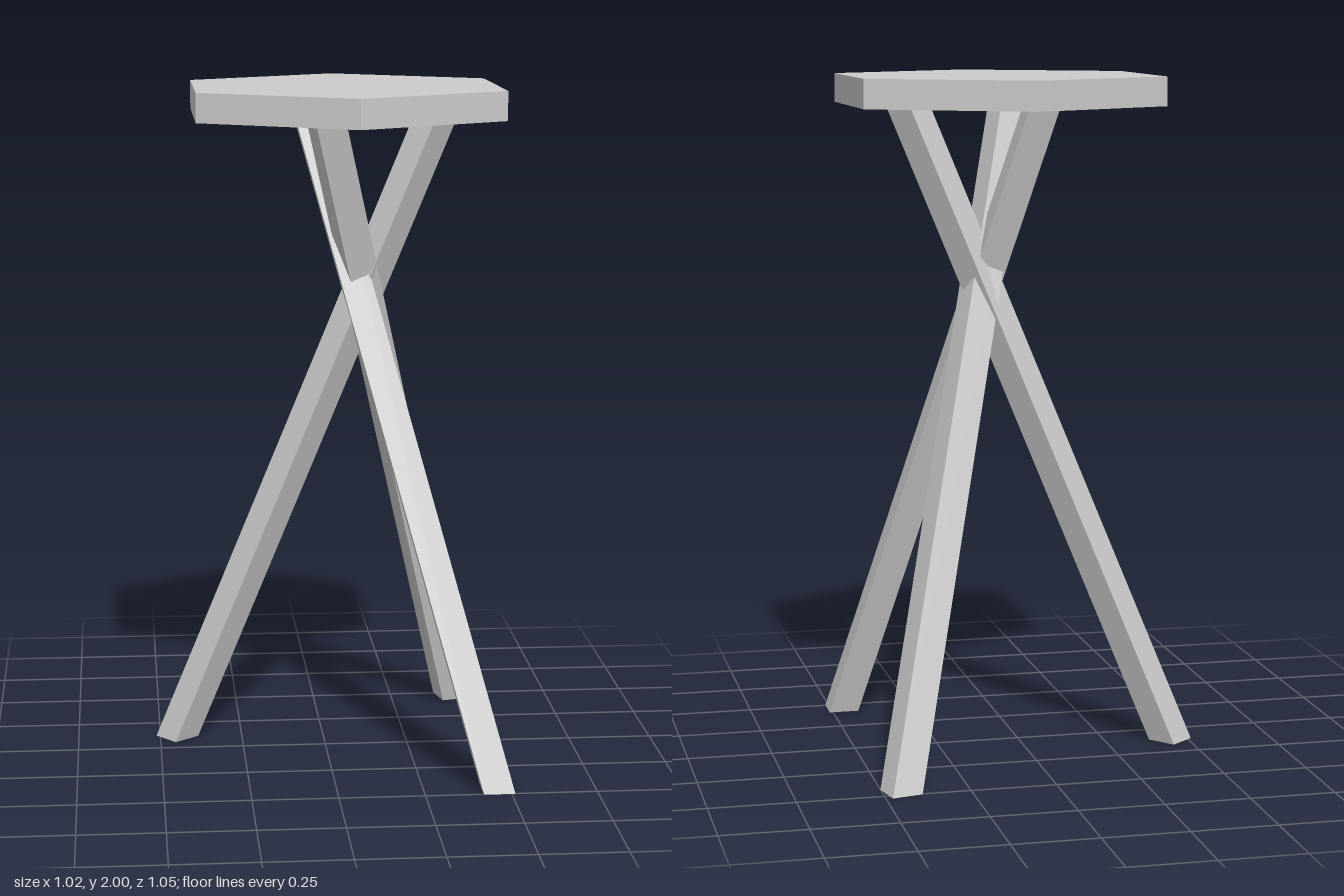
import * as THREE from 'three';

const SEAT_BOTTOM = 1.915;
const SEAT_TOP = 2;

// Square leg sheared so foot and top stay level: foot centre, rise offset, twist about y
function makeLeg(name, footX, footZ, shiftX, shiftZ, twist, material) {
  const side = 0.091;
  const geometry = new THREE.BoxGeometry(side, SEAT_BOTTOM, side);
  geometry.translate(0, SEAT_BOTTOM / 2, 0);
  geometry.rotateY(twist);
  const pos = geometry.attributes.position;
  for (let i = 0; i < pos.count; i++) {
    const t = pos.getY(i) / SEAT_BOTTOM;
    pos.setX(i, pos.getX(i) + footX + shiftX * t);
    pos.setZ(i, pos.getZ(i) + footZ + shiftZ * t);
  }
  geometry.computeVertexNormals();
  const leg = new THREE.Mesh(geometry, material);
  leg.name = name;
  return leg;
}

export function createModel() {
  const model = new THREE.Group();
  model.name = 'stool';
  const material = new THREE.MeshStandardMaterial({ color: 0xcccccc, flatShading: true });

  // Hexagonal seat with points towards front and back
  const thickness = SEAT_TOP - SEAT_BOTTOM;
  const seat = new THREE.Mesh(new THREE.CylinderGeometry(0.51, 0.51, thickness, 6), material);
  seat.name = 'seat';
  seat.position.set(0.056, SEAT_BOTTOM + thickness / 2, 0.012);
  model.add(seat);

  // Three leaning legs that cross below the seat
  model.add(
    makeLeg('rightLeg', -0.448, -0.116, 0.77, 0.143, 0.69, material),
    makeLeg('frontLeftLeg', 0.465, 0.458, -0.505, -0.597, 0, material),
    makeLeg('backLeftLeg', 0.446, -0.471, -0.457, 0.635, 0.228, material)
  );
  return model;
}
